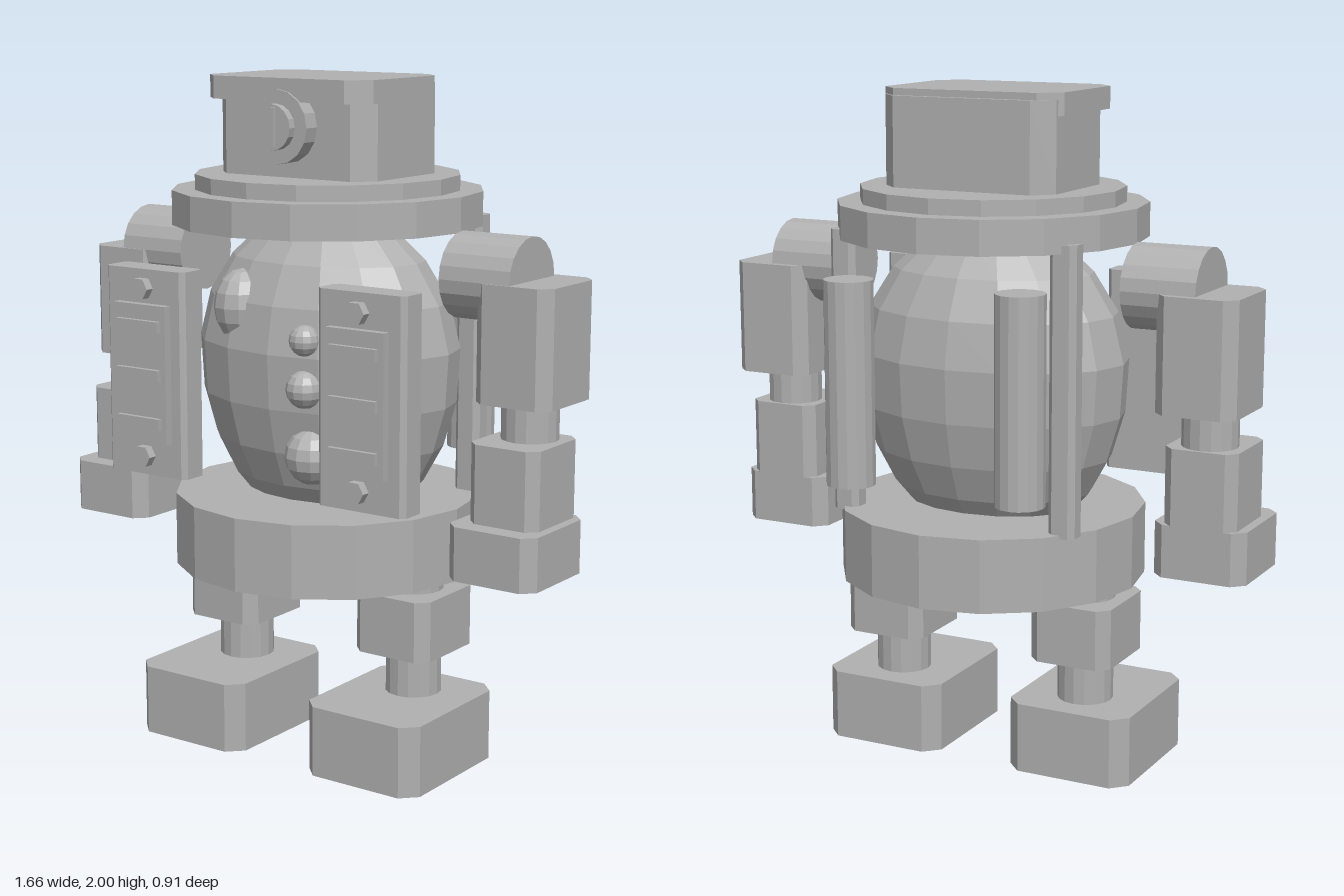
import * as THREE from 'three';

const grey = new THREE.MeshStandardMaterial({ color: 0xb0b0b0, flatShading: true });
grey.name = 'plain grey';

function add(parent, name, geometry, x = 0, y = 0, z = 0) {
  const mesh = new THREE.Mesh(geometry, grey);
  mesh.name = name;
  mesh.position.set(x, y, z);
  parent.add(mesh);
  return mesh;
}

// Block between two corners, with its upright edges cut off by c
function block(parent, name, [x0, x1], [y0, y1], [z0, z1], c) {
  const w = (x1 - x0) / 2, d = (z1 - z0) / 2;
  const outline = [[-w + c, -d], [w - c, -d], [w, -d + c], [w, d - c],
    [w - c, d], [-w + c, d], [-w, d - c], [-w, -d + c]];
  const shape = new THREE.Shape(outline.map(p => new THREE.Vector2(...p)));
  const geo = new THREE.ExtrudeGeometry(shape, { depth: y1 - y0, bevelEnabled: false });
  geo.rotateX(-Math.PI / 2);
  return add(parent, name, geo, (x0 + x1) / 2, y0, (z0 + z1) / 2);
}

// Upright cylinder
function post(parent, name, r, [y0, y1], x, z) {
  return add(parent, name, new THREE.CylinderGeometry(r, r, y1 - y0, 16), x, (y0 + y1) / 2, z);
}

// Cylinder pointing to the front
function knob(parent, name, r, [z0, z1], x, y, sides) {
  const geo = new THREE.CylinderGeometry(r, r, z1 - z0, sides).rotateX(Math.PI / 2);
  return add(parent, name, geo, x, y, (z0 + z1) / 2);
}

function buildHead(model) {
  const head = new THREE.Group();
  head.name = 'head';
  block(head, 'headBox', [-0.272, 0.272], [1.72, 1.98], [-0.2, 0.2], 0.055);
  block(head, 'headLid', [-0.285, 0.285], [1.935, 2], [-0.18, 0.243], 0.058);
  knob(head, 'eyeRing', 0.105, [0.19, 0.25], 0, 1.865, 16);
  knob(head, 'eyeDisc', 0.065, [0.25, 0.274], 0, 1.865, 16);
  add(head, 'eyeSlot', new THREE.BoxGeometry(0.032, 0.11, 0.03), 0, 1.865, 0.27);
  model.add(head);
}

function buildBody(model) {
  const body = new THREE.Group();
  body.name = 'body';
  post(body, 'hipDisc', 0.455, [0.565, 0.78], 0, 0);
  post(body, 'collarDisc', 0.455, [1.575, 1.675], 0, 0);
  post(body, 'neckRing', 0.388, [1.675, 1.72], 0, 0);

  // Egg-shaped belly, flattened front to back
  const profile = [[0, 0.72], [0.2, 0.74], [0.265, 0.78], [0.31, 0.828], [0.37, 0.934],
    [0.41, 1.066], [0.42, 1.225], [0.385, 1.36], [0.31, 1.475], [0.19, 1.58], [0, 1.63]];
  const belly = new THREE.LatheGeometry(profile.map(p => new THREE.Vector2(...p)), 16);
  add(body, 'belly', belly.scale(1, 1, 0.71));

  // Round buttons and one oval bump on the belly
  for (const [y, r, z] of [[1.275, 0.045, 0.275], [1.135, 0.055, 0.275], [0.935, 0.083, 0.235]]) {
    add(body, 'button', new THREE.SphereGeometry(r, 12, 8), 0.115, y, z);
  }
  const bump = add(body, 'bump', new THREE.SphereGeometry(0.1, 12, 8), -0.16, 1.34, 0.2);
  bump.scale.set(0.85, 1.1, 0.9);
  model.add(body);
}

// Everything that repeats on both sides, built for the left (+x) side
function buildSide() {
  const side = new THREE.Group();

  const arm = new THREE.Group();
  arm.name = 'arm';
  const shoulder = new THREE.CylinderGeometry(0.123, 0.123, 0.225, 20).rotateZ(Math.PI / 2);
  add(arm, 'shoulder', shoulder, 0.572, 1.46, -0.003);
  block(arm, 'upperArm', [0.568, 0.81], [1.125, 1.46], [-0.15, 0.125], 0.035);
  post(arm, 'elbow', 0.082, [1.02, 1.125], 0.69, 0);
  block(arm, 'forearm', [0.58, 0.8], [0.795, 1.02], [-0.092, 0.16], 0.03);
  block(arm, 'hand', [0.547, 0.828], [0.64, 0.795], [-0.088, 0.22], 0.036);
  side.add(arm);

  const leg = new THREE.Group();
  leg.name = 'leg';
  post(leg, 'thigh', 0.087, [0.525, 0.565], 0.31, 0);
  block(leg, 'knee', [0.183, 0.438], [0.345, 0.525], [-0.14, 0.143], 0.034);
  post(leg, 'ankle', 0.083, [0.21, 0.345], 0.31, 0);
  block(leg, 'foot', [0.118, 0.505], [0, 0.21], [-0.158, 0.305], 0.045);
  side.add(leg);

  // Chest panel with bolts and a ribbed plate
  const panel = new THREE.Group();
  panel.name = 'chestPanel';
  block(panel, 'panelBoard', [0.235, 0.525], [0.842, 1.45], [0.29, 0.385], 0.014);
  add(panel, 'panelPlate', new THREE.BoxGeometry(0.192, 0.405, 0.03), 0.378, 1.148, 0.395);
  for (const y of [1.005, 1.148, 1.29]) {
    add(panel, 'panelBar', new THREE.BoxGeometry(0.156, 0.033, 0.03), 0.378, y, 0.41);
  }
  for (const y of [0.9, 1.395]) {
    const bolt = knob(panel, 'panelBolt', 0.033, [0.38, 0.412], 0.378, y, 6);
    bolt.rotation.z = Math.PI / 6;
  }
  side.add(panel);

  // Rear strut and tank
  block(side, 'rearStrut', [0.31, 0.392], [0.77, 1.6], [-0.276, -0.205], 0.016);
  post(side, 'rearTank', 0.072, [0.878, 1.475], 0.272, -0.365);
  return side;
}

export function createModel() {
  const model = new THREE.Group();
  model.name = 'robot';
  buildHead(model);
  buildBody(model);

  const left = buildSide();
  left.name = 'leftSide';
  // Every side part is symmetric in x, so the other side only needs its positions flipped
  const right = buildSide();
  right.name = 'rightSide';
  right.traverse(part => { part.position.x *= -1; });
  model.add(left, right);
  return model;
}
